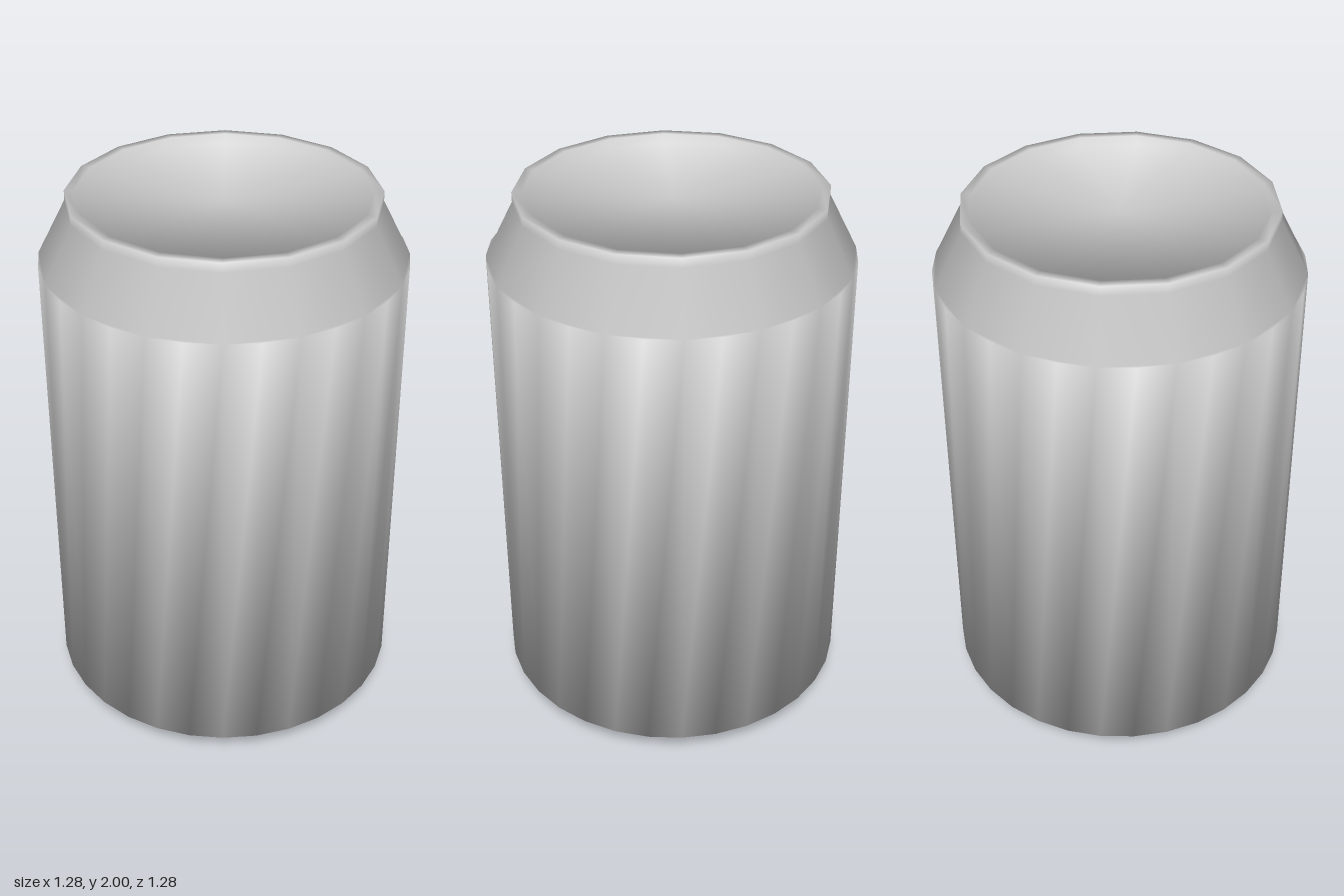
import * as THREE from 'three';
import { mergeVertices } from 'three/addons/utils/BufferGeometryUtils.js';

const SEGMENTS = 16;

// Cross-section from the centre of the base to the centre of the lid:
// [radius, height, sides per segment]; 0 marks a single centre point.
const PROFILE = [
  [0, 0.022, 0],
  [0.485, 0.022, 1], // recessed base
  [0.485, 0, 1],
  [0.52, 0, 1], // standing ring
  [0.52, 0.022, 1],
  [0.638, 0.105, 1], // lower taper
  [0.638, 0.105, 2], // wall
  [0.638, 1.77, 2],
  [0.638, 1.77, 1], // neck
  [0.538, 1.966, 1],
  [0.538, 2, 1], // rim
  [0.505, 2, 1],
  [0.505, 1.966, 1], // recessed lid
  [0, 1.966, 0],
];

// Smooth normals, each face weighted by its corner angle.
function setSmoothNormals(geometry) {
  const pos = geometry.attributes.position;
  const index = geometry.index.array;
  const normals = Array.from({ length: pos.count }, () => new THREE.Vector3());
  const point = (i) => new THREE.Vector3().fromBufferAttribute(pos, i);
  for (let t = 0; t < index.length; t += 3) {
    for (let k = 0; k < 3; k++) {
      const i = index[t + k];
      const p = point(i);
      const e1 = point(index[t + (k + 1) % 3]).sub(p);
      const e2 = point(index[t + (k + 2) % 3]).sub(p);
      const face = new THREE.Vector3().crossVectors(e1, e2).normalize();
      normals[i].addScaledVector(face, e1.angleTo(e2));
    }
  }
  const flat = normals.flatMap((n) => n.normalize().toArray());
  geometry.setAttribute('normal', new THREE.Float32BufferAttribute(flat, 3));
}

// Joins rings of 1, 16 or 32 points into one closed skin.
function ringSkin(profile) {
  const positions = [];
  const indices = [];
  const rings = profile.map(([radius, y, per]) => {
    const start = positions.length / 3;
    const count = Math.max(1, per * SEGMENTS);
    for (let j = 0; j < count; j++) {
      const a = (j / count) * Math.PI * 2;
      positions.push(radius * Math.sin(a), y, radius * Math.cos(a));
    }
    return { per, at: (s, k) => start + ((s * per + k) % count) };
  });

  for (let r = 0; r < rings.length - 1; r++) {
    const lower = rings[r];
    const upper = rings[r + 1];
    for (let s = 0; s < SEGMENTS; s++) {
      const l = (k) => lower.at(s, k);
      const u = (k) => upper.at(s, k);
      if (lower.per === 0) indices.push(l(0), u(1), u(0));
      else if (upper.per === 0) indices.push(l(0), l(1), u(0));
      // small ledges where the 32-sided wall meets a 16-sided taper
      else if (lower.per > upper.per) indices.push(l(1), u(1), u(0));
      else if (lower.per < upper.per) indices.push(l(0), l(1), u(1));
      else {
        for (let k = 0; k < lower.per; k++) {
          indices.push(l(k), l(k + 1), u(k + 1), l(k), u(k + 1), u(k));
        }
      }
    }
  }

  const geometry = new THREE.BufferGeometry();
  geometry.setAttribute('position', new THREE.Float32BufferAttribute(positions, 3));
  geometry.setIndex(indices);
  const skin = mergeVertices(geometry);
  setSmoothNormals(skin);
  return skin;
}

export function createModel() {
  const model = new THREE.Group();
  model.name = 'drinkCan';
  const material = new THREE.MeshStandardMaterial({ color: 0xcccccc });
  const can = new THREE.Mesh(ringSkin(PROFILE), material);
  can.name = 'canBody';
  model.add(can);
  return model;
}
